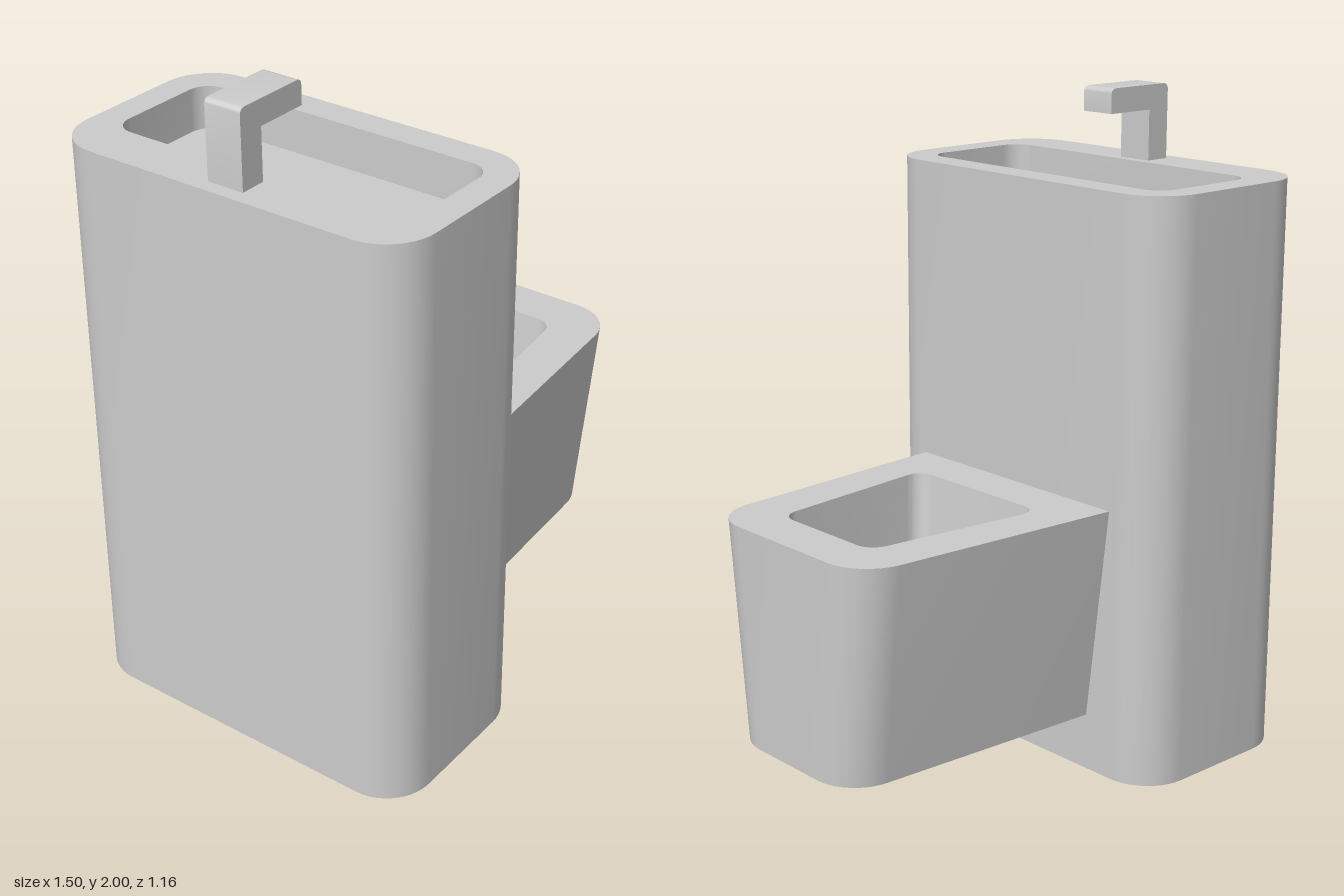
import * as THREE from 'three';
import { toCreasedNormals, mergeGeometries } from 'three/addons/utils/BufferGeometryUtils.js';

// Plan outline, symmetric about z = 0: x0/z0 is the back end, x1/z1 the front end;
// r0/r1 are the rounding lengths of the corners at each end.
function outline(x0, z0, x1, z1, r0, r1, steps = 10) {
  const P = [[x0, -z0], [x1, -z1], [x1, z1], [x0, z0]].map(p => new THREE.Vector2(...p));
  const R = [r0, r1, r1, r0];
  const pts = [];
  P.forEach((p, i) => {
    if (R[i] === 0) { pts.push(p); return; }
    const toPrev = P[(i + 3) % 4].clone().sub(p).normalize();
    const toNext = P[(i + 1) % 4].clone().sub(p).normalize();
    const a = p.clone().addScaledVector(toPrev, R[i]);
    const b = p.clone().addScaledVector(toNext, R[i]);
    const w = Math.sin(Math.acos(toPrev.dot(toNext)) / 2); // conic weight for a true arc
    for (let k = 0; k <= steps; k++) {
      const s = k / steps, ca = (1 - s) ** 2, cp = 2 * s * (1 - s) * w, cb = s * s;
      pts.push(new THREE.Vector2()
        .addScaledVector(a, ca).addScaledVector(p, cp).addScaledVector(b, cb)
        .divideScalar(ca + cp + cb));
    }
  });
  return pts;
}

// Wall between two outlines; faces outward going up, inward going down.
function wall(ringA, yA, ringB, yB) {
  const n = ringA.length, pos = [], idx = [];
  for (const [ring, y] of [[ringA, yA], [ringB, yB]]) ring.forEach(p => pos.push(p.x, y, -p.y));
  for (let i = 0; i < n; i++) {
    const j = (i + 1) % n;
    idx.push(i, j, n + j, i, n + j, n + i);
  }
  const g = new THREE.BufferGeometry();
  g.setAttribute('position', new THREE.Float32BufferAttribute(pos, 3));
  g.setIndex(idx);
  return toCreasedNormals(g, 0.5);
}

// Flat horizontal face, optionally with a hole or facing down.
function cap(ring, y, hole, down = false) {
  const shape = new THREE.Shape(ring);
  if (hole) shape.holes.push(new THREE.Path(hole));
  const g = new THREE.ShapeGeometry(shape);
  g.rotateX(down ? Math.PI / 2 : -Math.PI / 2).translate(0, y, 0);
  g.deleteAttribute('uv');
  return g.toNonIndexed();
}

export function createModel() {
  const group = new THREE.Group();
  const material = new THREE.MeshStandardMaterial({ color: 0xcccccc, side: THREE.DoubleSide });
  const add = (name, geometry) => {
    const mesh = new THREE.Mesh(geometry, material);
    mesh.name = name;
    group.add(mesh);
  };

  // Tall column, open underneath, with a shallow basin in its top
  const column = outline(-0.755, 0.58, -0.125, 0.58, 0.15, 0.15);
  const basin = outline(-0.6, 0.49, -0.22, 0.49, 0.065, 0.065);
  const columnTop = 1.77, basinFloor = 1.64;
  add('column', mergeGeometries([wall(column, 0, column, columnTop), cap(column, columnTop, basin)]));
  add('basin', mergeGeometries([wall(basin, columnTop, basin, basinFloor), cap(basin, basinFloor)]));

  // Bowl body, narrowing in width toward the bottom
  const bowlTop = 0.84, bowlBottom = 0.175, bowlFloor = 0.4;
  const rim = outline(-0.125, 0.407, 0.75, 0.34, 0, 0.135);
  const foot = outline(-0.125, 0.326, 0.75, 0.272, 0, 0.135);
  const mouth = outline(0.022, 0.263, 0.6, 0.2, 0.055, 0.055);
  const floor = outline(0.07, 0.22, 0.55, 0.167, 0.05, 0.05);
  add('bowl', mergeGeometries([
    wall(foot, bowlBottom, rim, bowlTop),
    cap(rim, bowlTop, mouth),
    cap(foot, bowlBottom, null, true),
  ]));
  add('bowlCavity', mergeGeometries([wall(mouth, bowlTop, floor, bowlFloor), cap(floor, bowlFloor)]));

  // Angled spout with softened corners
  const s = new THREE.Shape();
  s.moveTo(-0.71, 1.77);
  s.lineTo(-0.63, 1.77);
  s.lineTo(-0.63, 1.925);
  s.lineTo(-0.465, 1.925);
  s.lineTo(-0.465, 1.98);
  s.quadraticCurveTo(-0.465, 2, -0.485, 2);
  s.lineTo(-0.69, 2);
  s.quadraticCurveTo(-0.71, 2, -0.71, 1.98);
  s.closePath();
  const spout = new THREE.ExtrudeGeometry(s, { depth: 0.116, bevelEnabled: false, curveSegments: 6 });
  spout.translate(0, 0, -0.058);
  add('spout', toCreasedNormals(spout, 0.5));

  return group;
}
